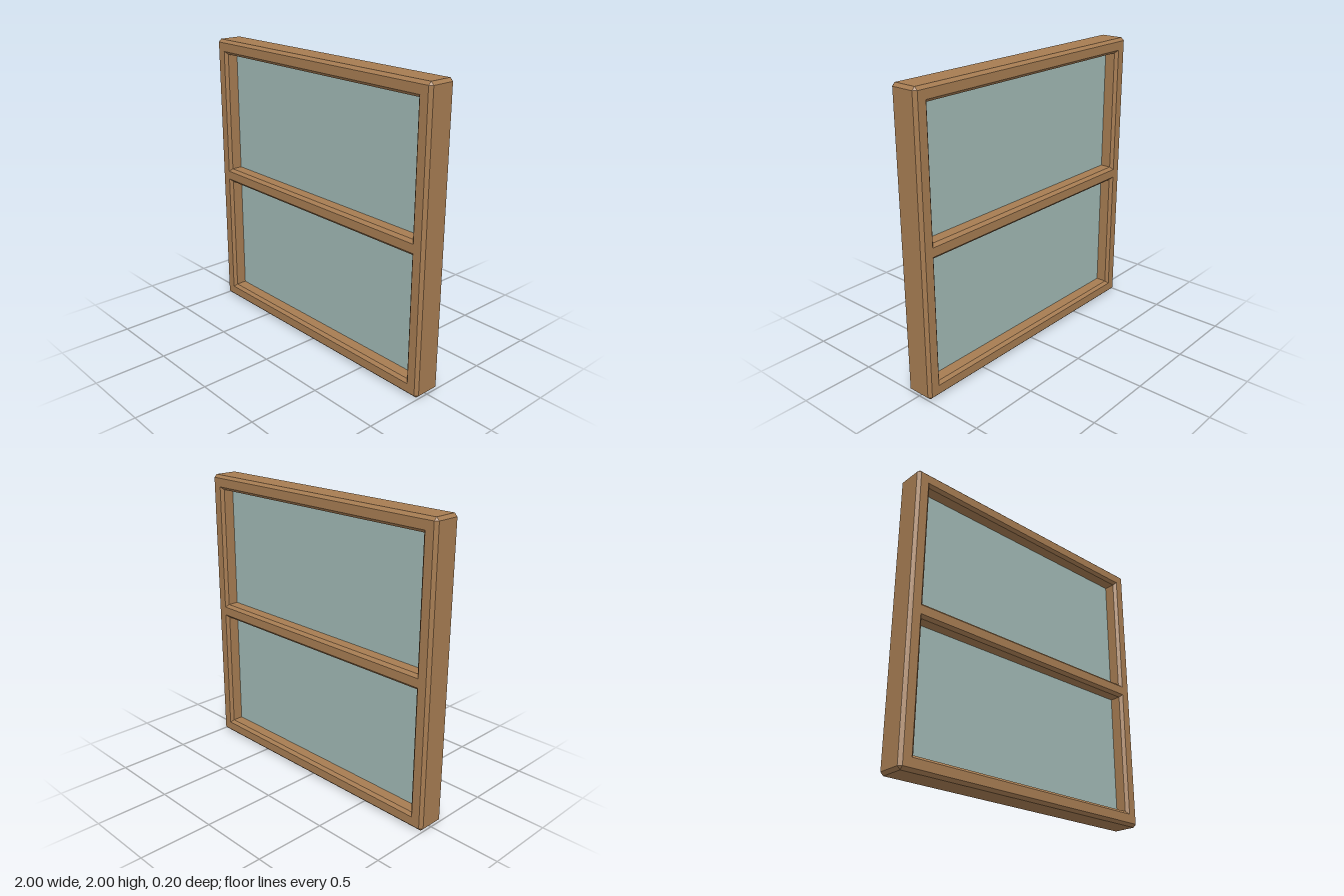
import * as THREE from 'three';

const BEVEL = 0.02, DEPTH = 0.2;
const PANES = [[0.10, 0.95], [1.05, 1.90]]; // bottom and top of each opening
const HALF_PANE = 0.9;

// Timber frame: one chamfered slab with two chamfered openings
function frameGeometry() {
  const o = 1, c = 1 - BEVEL;
  const shape = new THREE.Shape([
    [-c, -o], [c, -o], [o, -c], [o, c], [c, o], [-c, o], [-o, c], [-o, -c],
  ].map(([x, y]) => new THREE.Vector2(x, y + 1)));
  for (const [y0, y1] of PANES) {
    shape.holes.push(new THREE.Path([
      [-HALF_PANE, y0], [-HALF_PANE, y1], [HALF_PANE, y1], [HALF_PANE, y0],
    ].map(([x, y]) => new THREE.Vector2(x, y))));
  }
  const depth = DEPTH - 2 * BEVEL;
  const geo = new THREE.ExtrudeGeometry(shape, {
    depth, bevelEnabled: true, bevelSegments: 1,
    bevelSize: BEVEL, bevelThickness: BEVEL, bevelOffset: -BEVEL,
  });
  geo.translate(0, 0, -depth / 2);

  // Square up the outer corners of the front and back faces
  const p = geo.attributes.position;
  for (let i = 0; i < p.count; i++) {
    if (Math.abs(p.getZ(i)) < DEPTH / 2 - 0.005) continue;
    const x = p.getX(i), y = p.getY(i) - 1;
    if (Math.abs(x) > 0.945) p.setX(i, Math.sign(x) * c);
    if (Math.abs(y) > 0.945) p.setY(i, Math.sign(y) * c + 1);
  }
  geo.computeVertexNormals();
  return geo;
}

export function createModel() {
  const wood = new THREE.MeshStandardMaterial({ color: 0xa67c52 });
  wood.name = 'wood';
  const glass = new THREE.MeshStandardMaterial({ color: 0xa0b8b4 });
  glass.name = 'glass';

  const model = new THREE.Group();
  model.name = 'window';

  const frame = new THREE.Mesh(frameGeometry(), wood);
  frame.name = 'frame';
  model.add(frame);

  // Glass panes in the middle of the frame depth
  PANES.forEach(([y0, y1], i) => {
    const pane = new THREE.Mesh(new THREE.BoxGeometry(HALF_PANE * 2, y1 - y0, 0.01), glass);
    pane.position.y = (y0 + y1) / 2;
    pane.name = i ? 'upperPane' : 'lowerPane';
    model.add(pane);
  });
  return model;
}
